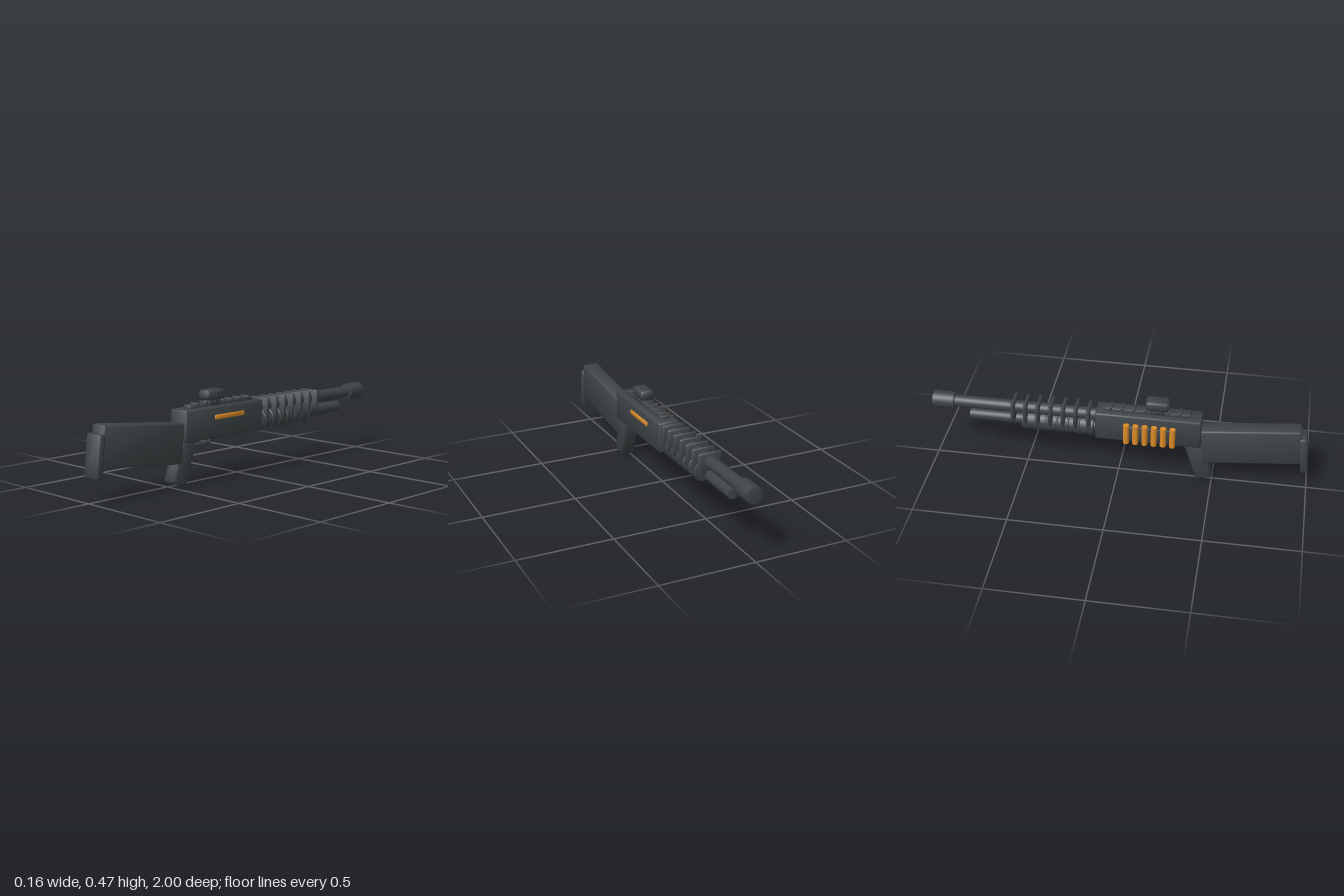
import * as THREE from 'three';
import { RoundedBoxGeometry } from 'three/addons/geometries/RoundedBoxGeometry.js';

const CX = 0.016; // the gun's centre plane

export function createModel() {
  const model = new THREE.Group();
  const gunmetal = new THREE.MeshStandardMaterial({ color: 0x3d4446 });
  gunmetal.name = 'gunmetal';
  const orange = new THREE.MeshStandardMaterial({ color: 0xd98a28 });
  orange.name = 'orange';

  function add(name, geometry, material, x, y, z, tilt = 0) {
    const mesh = new THREE.Mesh(geometry, material);
    mesh.name = name;
    mesh.position.set(x, y, z);
    mesh.rotation.x = tilt;
    model.add(mesh);
    return mesh;
  }

  // Bevelled box whose normals lean outwards at the corners, for soft shading
  function softBox(w, h, d, r) {
    const g = new RoundedBoxGeometry(w, h, d, 1, r);
    const p = g.attributes.position, n = g.attributes.normal;
    const v = new THREE.Vector3();
    for (let i = 0; i < p.count; i++) {
      v.fromBufferAttribute(n, i);
      v.x += 0.4 * Math.sign(p.getX(i));
      v.y += 0.4 * Math.sign(p.getY(i));
      v.z += 0.4 * Math.sign(p.getZ(i));
      v.normalize();
      n.setXYZ(i, v.x, v.y, v.z);
    }
    return g;
  }

  // Tube along z with small chamfers at both ends
  function rod(name, r, zBack, zFront, y, bevel = 0.004) {
    const half = (zBack - zFront) / 2;
    const stops = [[0, -half], [r - bevel, -half], [r, -half + bevel],
      [r, half - bevel], [r - bevel, half], [0, half]];
    const g = new THREE.LatheGeometry(stops.map(([a, b]) => new THREE.Vector2(a, b)), 24);
    g.rotateX(Math.PI / 2);
    return add(name, g, gunmetal, CX, y, (zBack + zFront) / 2);
  }

  // Stock and butt pad
  add('stock', softBox(0.09, 0.206, 0.52, 0.01), gunmetal, CX, 0.249, 0.698, -0.105);
  add('buttPad', softBox(0.1, 0.216, 0.04, 0.01), gunmetal, CX, 0.228, 0.969, -0.105);

  // Receiver, grip and trigger guard
  add('receiver', softBox(0.116, 0.163, 0.556, 0.01), gunmetal, CX, 0.3065, 0.158);
  add('grip', softBox(0.08, 0.26, 0.092, 0.012), gunmetal, CX, 0.138, 0.422, -0.314);
  add('triggerGuardBar', softBox(0.026, 0.014, 0.14, 0.004), gunmetal, CX, 0.197, 0.292);
  add('triggerGuardPost', softBox(0.026, 0.045, 0.01, 0.003), gunmetal, CX, 0.211, 0.227);

  // Barrel, muzzle and magazine tube
  rod('barrel', 0.032, 0, -0.92, 0.345);
  rod('muzzle', 0.045, -0.88, -1, 0.346, 0.006);
  rod('magazineTube', 0.03, 0, -0.803, 0.272);

  // Ribbed pump
  rod('pump', 0.053, -0.13, -0.515, 0.272, 0.006);
  for (let i = 0; i < 7; i++) {
    add('pumpRib', new THREE.TorusGeometry(0.051, 0.007, 8, 24), gunmetal, CX, 0.272, -0.15 - i * 0.058);
  }

  // Heat shield plates around the barrel
  for (let i = 0; i < 7; i++) {
    add('heatShieldPlate', softBox(0.126, 0.114, 0.02, 0.008), gunmetal, CX, 0.336, -0.158 - i * 0.067);
  }

  // Top rail with its ridges
  add('rail', softBox(0.05, 0.03, 0.45, 0.005), gunmetal, CX, 0.391, 0.152);
  for (let i = 0; i < 7; i++) {
    add('railRidge', softBox(0.056, 0.014, 0.016, 0.004), gunmetal, CX, 0.407, 0.322 - i * 0.0605);
  }

  // Sight
  add('sightMount', softBox(0.052, 0.04, 0.085, 0.005), gunmetal, CX, 0.408, 0.202);
  add('sight', softBox(0.076, 0.052, 0.122, 0.014), gunmetal, CX, 0.444, 0.202);

  // Shell carrier on the right side
  add('shellCarrier', softBox(0.026, 0.09, 0.28, 0.005), gunmetal, -0.05, 0.29, 0.168);
  for (let i = 0; i < 6; i++) {
    add('shell', new THREE.CylinderGeometry(0.016, 0.016, 0.112, 16), orange, -0.066, 0.295, 0.049 + i * 0.0483);
  }

  // Ejection port cover on the left side
  add('ejectionPort', softBox(0.014, 0.024, 0.21, 0.004), orange, 0.073, 0.334, 0.13);

  return model;
}
